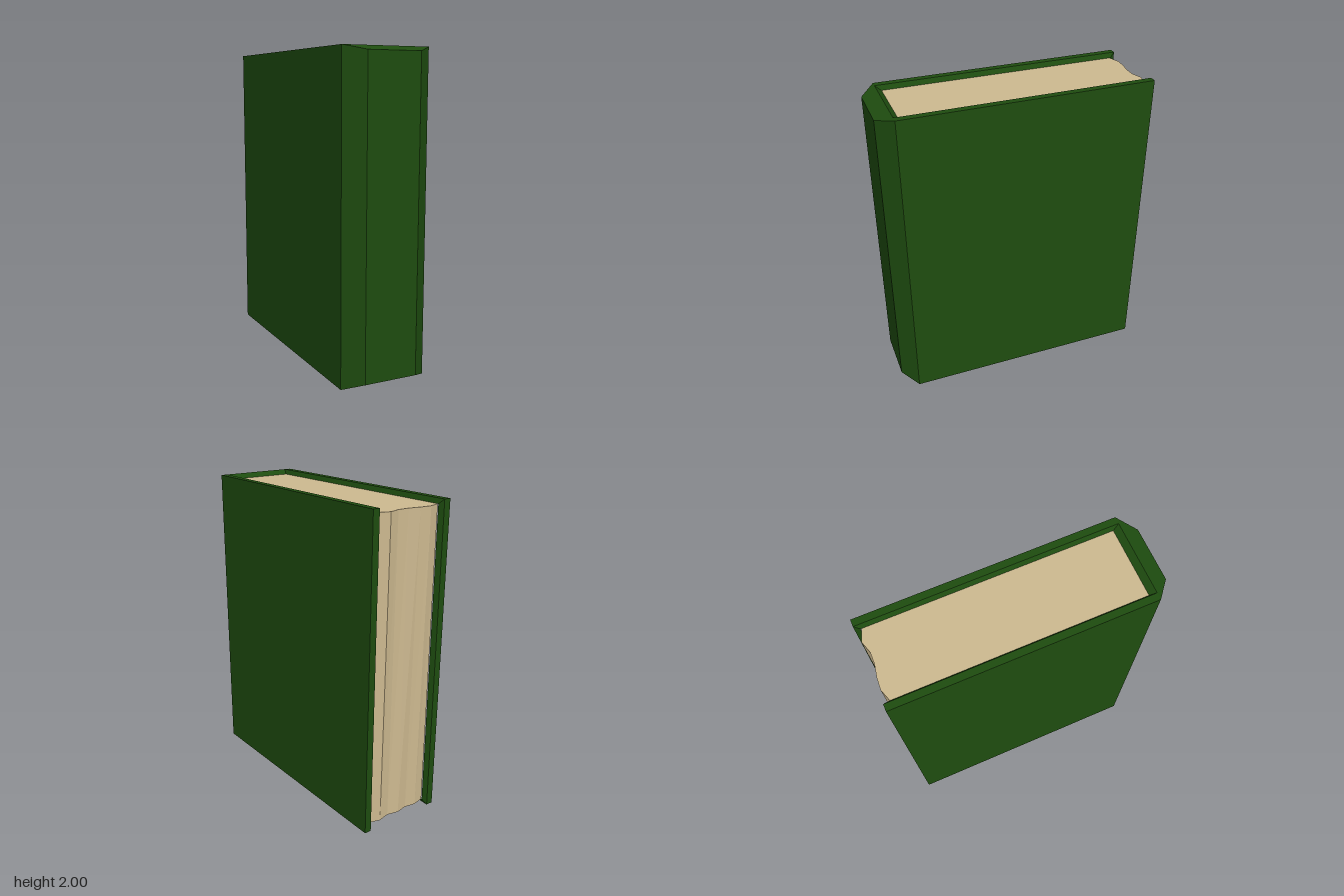
import * as THREE from 'three';

const paper = new THREE.MeshStandardMaterial({ color: 0xcdb990, flatShading: true });
const cloth = new THREE.MeshStandardMaterial({ color: 0x1e4c0f, flatShading: true });

// Cover: a six-point band swept in a U from one board, round the spine, to the other
function coverGeometry() {
  // rim inset, outer edge and cavity edge for each station, as [x, z]
  const half = [
    { outer: [0.285, -0.853], rim: [0.24, -0.853], cavity: [0.225, -0.82], top: 2, bottom: 0 },
    { outer: [0.285, 0.757], rim: [0.24, 0.757], cavity: [0.225, 0.72], top: 2, bottom: 0 },
    { outer: [0.173, 0.853], rim: [0.24, 0.757], cavity: [0.225, 0.72], top: 1.97, bottom: 0.045 },
  ];
  const section = (s, side) => {
    const at = ([x, z], y) => [x * side, y, z];
    return [
      at(s.cavity, 1.97), at(s.rim, 2), at(s.outer, s.top),
      at(s.outer, s.bottom), at(s.rim, 0), at(s.cavity, 0.03),
    ];
  };
  const rings = [
    ...half.map((s) => section(s, -1)),
    ...half.slice().reverse().map((s) => section(s, 1)),
  ];

  const positions = [];
  const quad = (a, b, c, d) => positions.push(...a, ...b, ...c, ...a, ...c, ...d);
  for (let i = 0; i < rings.length - 1; i++) {
    for (let j = 0; j < 5; j++) {
      quad(rings[i][j], rings[i][j + 1], rings[i + 1][j + 1], rings[i + 1][j]);
    }
  }
  // board ends: flat edge and inner bevel
  const p = rings[0];
  const q = rings[rings.length - 1];
  for (const [a, b, c, d] of [[1, 4, 3, 2], [0, 5, 4, 1]]) {
    quad(p[a], p[b], p[c], p[d]);
    quad(q[d], q[c], q[b], q[a]);
  }
  const geometry = new THREE.BufferGeometry();
  geometry.setAttribute('position', new THREE.Float32BufferAttribute(positions, 3));
  geometry.computeVertexNormals();
  return geometry;
}

// Page block: a box whose open edge follows a wavy line, a little different top and bottom
function pagesGeometry() {
  const topEdge = [-0.815, -0.84, -0.835, -0.82, -0.818, -0.842, -0.815];
  const bottomEdge = [-0.815, -0.832, -0.82, -0.834, -0.818, -0.835, -0.815];
  const geometry = new THREE.BoxGeometry(0.45, 1.94, 1, 6, 1, 1);
  const pos = geometry.attributes.position;
  for (let i = 0; i < pos.count; i++) {
    const edge = pos.getY(i) > 0 ? topEdge : bottomEdge;
    const column = Math.round((pos.getX(i) + 0.225) / 0.075);
    pos.setZ(i, pos.getZ(i) > 0 ? 0.72 : edge[column]);
  }
  geometry.translate(0, 1, 0);
  geometry.computeVertexNormals();
  return geometry;
}

export function createModel() {
  const book = new THREE.Group();
  book.name = 'book';
  const cover = new THREE.Mesh(coverGeometry(), cloth);
  cover.name = 'cover';
  const pages = new THREE.Mesh(pagesGeometry(), paper);
  pages.name = 'pages';
  book.add(cover, pages);
  return book;
}
